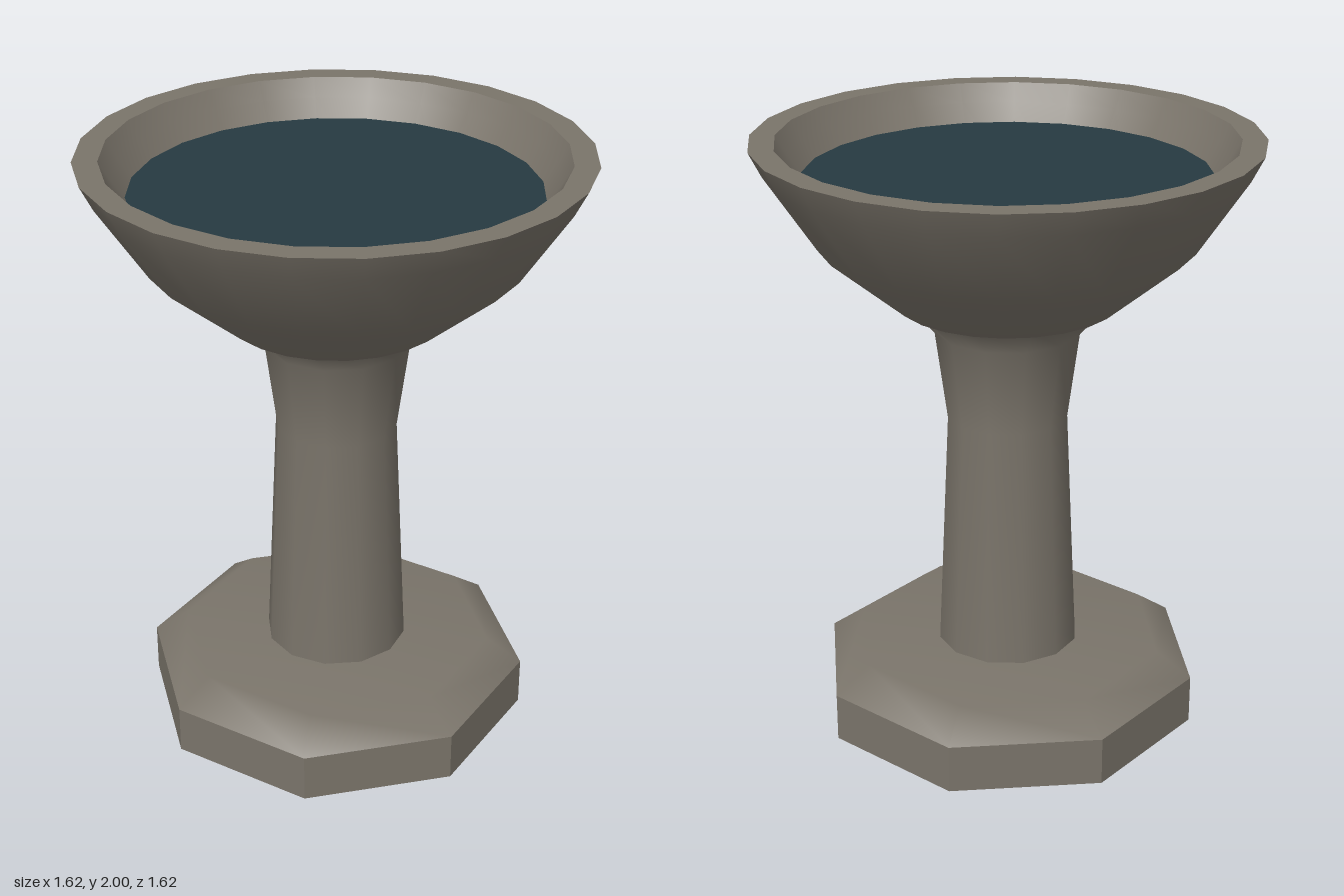
import * as THREE from 'three';

export function createModel() {
  const model = new THREE.Group();
  const stone = new THREE.MeshStandardMaterial({ color: 0x7a746a });
  stone.name = 'weathered stone';
  const water = new THREE.MeshStandardMaterial({ color: 0x263a41 });
  water.name = 'dark water';

  const add = (name, geometry, material, parent = model) => {
    const mesh = new THREE.Mesh(geometry, material);
    mesh.name = name;
    parent.add(mesh);
    return mesh;
  };
  // Smooth turned surface; separate profiles keep the edges between them sharp
  const turned = (profile, sides) =>
    new THREE.LatheGeometry(profile.map(([r, y]) => new THREE.Vector2(r, y)), sides);
  const part = (name) => {
    const group = new THREE.Group();
    group.name = name;
    model.add(group);
    return group;
  };

  // Octagonal base: faceted sides, softly shaded chamfer and top
  const base = part('base');
  const sides = new THREE.CylinderGeometry(0.65, 0.65, 0.165, 8, 1, true).toNonIndexed();
  sides.computeVertexNormals();
  sides.translate(0, 0.0825, 0);
  add('baseSides', sides, stone, base);
  add('baseTop', turned([[0.65, 0.165], [0.53, 0.25], [0, 0.25]], 8), stone, base);
  add('baseUnderside', turned([[0, 0], [0.65, 0]], 8), stone, base);

  // Waisted column flaring out under the bowl
  add('column', turned([[0.24, 0.24], [0.202, 1.07], [0.242, 1.37], [0.33, 1.47]], 12), stone);

  // Bowl: underside, outer wall, flat rim and inner wall
  const bowl = part('bowl');
  const bowlProfiles = {
    bowlUnderside: [[0, 1.468], [0.365, 1.468]],
    bowlOuterWall: [[0.365, 1.468], [0.61, 1.675], [0.77, 1.92], [0.81, 2]],
    bowlRim: [[0.81, 2], [0.73, 2]],
    bowlInnerWall: [[0.73, 2], [0.695, 1.94], [0.545, 1.72], [0.32, 1.54], [0, 1.52]],
  };
  for (const [name, profile] of Object.entries(bowlProfiles)) {
    add(name, turned(profile, 24), stone, bowl);
  }

  // Water surface resting inside the bowl
  const surface = new THREE.CircleGeometry(0.653, 24);
  surface.rotateX(-Math.PI / 2);
  surface.translate(0, 1.88, 0);
  add('waterSurface', surface, water);

  return model;
}
